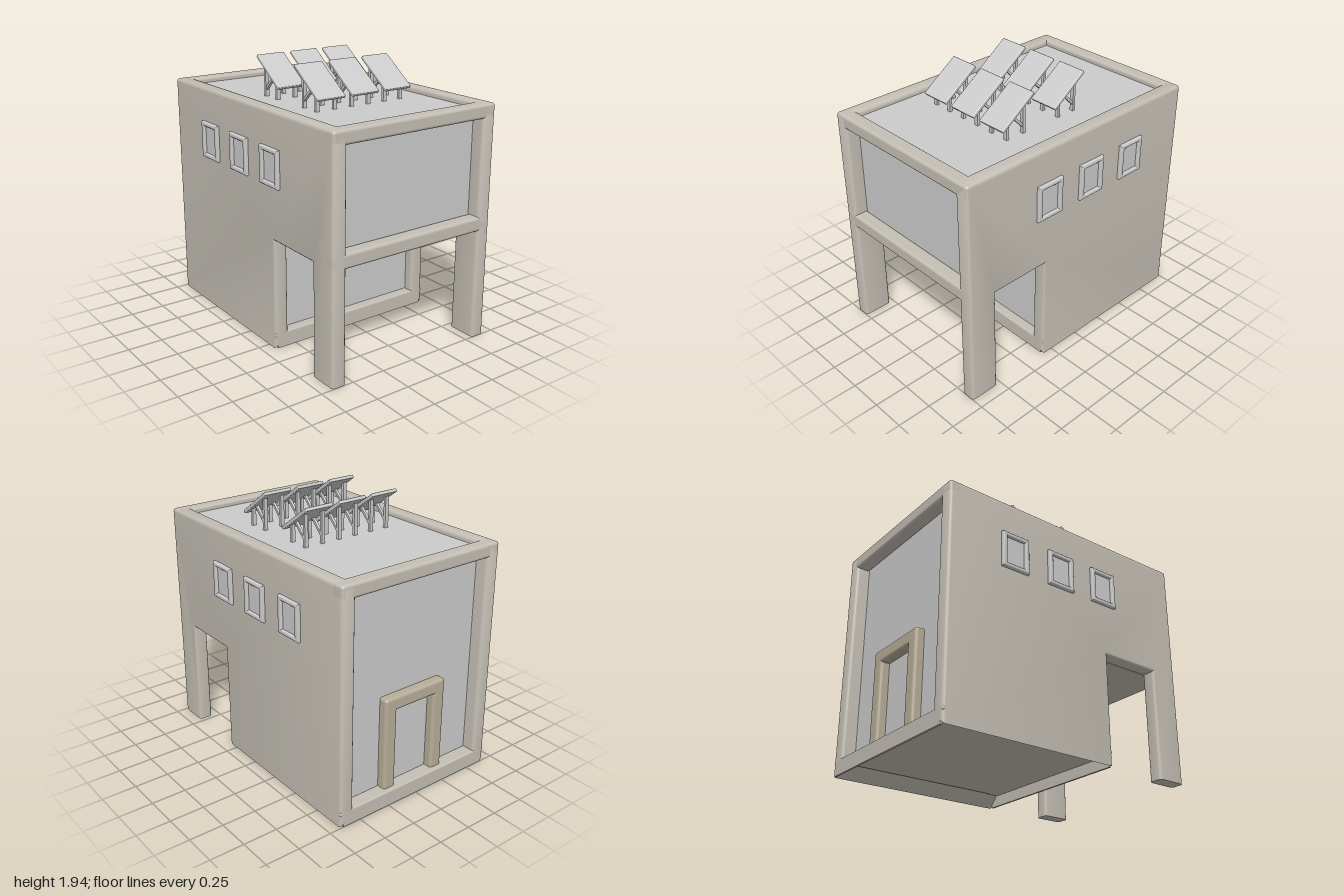
import * as THREE from 'three';
import { RoundedBoxGeometry } from 'three/addons/geometries/RoundedBoxGeometry.js';
import { toCreasedNormals } from 'three/addons/utils/BufferGeometryUtils.js';

const grey = new THREE.MeshStandardMaterial({ color: 0xcccccc });
const wallMat = new THREE.MeshStandardMaterial({ color: 0xc4bfb5 });
const trimMat = new THREE.MeshStandardMaterial({ color: 0xb8ad98 });

const W = 0.665, T = 0.105, H = 1.69, R = 0.022; // half width, wall thickness, height, edge radius
const ROOF = 1.65; // height of the recessed roof

function add(parent, name, geometry, material) {
  const mesh = new THREE.Mesh(geometry, material);
  mesh.name = name;
  parent.add(mesh);
  return mesh;
}

// Box given by its limits on each axis, optionally with rounded edges
function span(parent, name, [x0, x1], [y0, y1], [z0, z1], material, r = 0) {
  const size = [x1 - x0, y1 - y0, z1 - z0];
  const geo = r ? new RoundedBoxGeometry(...size, 3, r) : new THREE.BoxGeometry(...size);
  geo.translate((x0 + x1) / 2, (y0 + y1) / 2, (z0 + z1) / 2);
  return add(parent, name, geo, material);
}

// Extrude an outline of [z, y] points along x, with rounded edges
function extrudeX(points, thickness, r, hole) {
  const toVec = ([z, y]) => new THREE.Vector2(-z, y);
  const shape = new THREE.Shape(points.map(toVec));
  if (hole) shape.holes.push(new THREE.Path(hole.map(toVec)));
  const geo = new THREE.ExtrudeGeometry(shape, {
    depth: thickness - 2 * r, bevelSize: r, bevelThickness: r, bevelOffset: -r, bevelSegments: 3,
  });
  geo.translate(0, 0, r - thickness / 2);
  return geo.rotateY(Math.PI / 2);
}

const rect = (hz, hy) => [[hz, -hy], [-hz, -hy], [-hz, hy], [hz, hy]];

// Side wall with front leg and passage opening; side is +1 for left, -1 for right
function wallGeometry(side) {
  const c = R * 1.3, k = c * 0.3;
  const geo = extrudeX([
    [1, -R], [1, H - c], [1 - k, H - k], [1 - c, H],
    [c - 1, H], [k - 1, H - k], [-1, H - c], [-1, -R],
    [0.335, -R], [0.335, 0.8], [0.78, 0.8], [0.78, -R],
  ], T, R);
  // Flat foot under the leg; under the room the base slopes up to the floor
  const p = geo.attributes.position;
  for (let i = 0; i < p.count; i++) {
    const slope = p.getZ(i) < 0.34 ? 0.11 * (0.5 - side * p.getX(i) / T) : 0;
    p.setY(i, Math.max(p.getY(i), slope));
  }
  return toCreasedNormals(geo, 0.6);
}

function buildShell(house) {
  for (const side of [1, -1]) {
    const wall = add(house, side > 0 ? 'leftWall' : 'rightWall', wallGeometry(side), wallMat);
    wall.position.x = side * (W - T / 2);
  }

  // Cross beams between the walls
  const beams = [
    ['frontTopBeam', [1.59, H], [0.895, 1], R],
    ['frontMiddleBeam', [0.8, 0.905], [0.895, 1], R],
    ['lowerFrontSill', [0.083, 0.113], [0.23, 0.335], 0.012],
    ['backTopBeam', [1.59, H], [-1, -0.895], R],
    ['backSill', [0.083, 0.113], [-1, -0.895], 0.012],
  ];
  for (const [name, y, z, r] of beams) span(house, name, [-W, W], y, z, wallMat, r);

  // Thin skirts below the sills
  const skirt = [R - W, W - R];
  span(house, 'lowerFrontSkirt', skirt, [0, 0.1], [0.32, 0.335], wallMat);
  span(house, 'backSkirt', skirt, [0, 0.1], [-1, -0.985], wallMat);

  // Recessed panels, roof and floors
  const inner = [-0.57, 0.57];
  span(house, 'roof', inner, [ROOF - 0.02, ROOF], [-0.92, 0.92], grey);
  span(house, 'upperFrontPanel', inner, [0.82, 1.62], [0.88, 0.9], grey);
  span(house, 'lowerFrontPanel', inner, [0.09, 0.82], [0.245, 0.265], grey);
  span(house, 'backPanel', inner, [0.09, 1.62], [-0.9, -0.88], grey);
  span(house, 'passageCeiling', inner, [0.8, 0.82], [0.245, 0.96], wallMat);
  span(house, 'floor', inner, [0.08, 0.09], [-0.985, 0.32], wallMat);
}

function buildDoor(house) {
  const door = new THREE.Group();
  door.name = 'backDoorFrame';
  const z = [-0.965, -0.88];
  for (const s of [1, -1]) {
    span(door, 'doorPost', [s * 0.215 - 0.05, s * 0.215 + 0.05], [0.085, 0.79], z, trimMat, R);
  }
  span(door, 'doorLintel', [-0.265, 0.265], [0.69, 0.79], z, trimMat, R);
  house.add(door);
}

function buildWindows(house) {
  const frame = toCreasedNormals(extrudeX(rect(0.11, 0.132), 0.05, 0.012, rect(0.074, 0.1)), 0.6);
  const pane = new THREE.BoxGeometry(0.01, 0.22, 0.17);
  for (const s of [1, -1]) {
    for (const z of [0.31, -0.08, -0.475]) {
      const win = new THREE.Group();
      win.name = 'sideWindow';
      add(win, 'windowFrame', frame, grey);
      add(win, 'windowPane', pane, grey);
      win.position.set(s * W, 1.313, z);
      house.add(win);
    }
  }
}

// Tilted panel on four legs with two braces; origin on the roof
function buildSolarPanel() {
  const panel = new THREE.Group();
  panel.name = 'solarPanel';
  const tilt = 0.615, height = 1.833 - ROOF;
  const plate = add(panel, 'panelPlate', new RoundedBoxGeometry(0.22, 0.025, 0.332, 2, 0.006), grey);
  plate.position.y = height;
  plate.rotation.x = tilt;
  for (const x of [-0.07, 0.07]) {
    for (const z of [0.07, -0.075]) {
      const top = height - z * Math.tan(tilt) - 0.008;
      span(panel, 'panelLeg', [x - 0.014, x + 0.014], [0, top], [z - 0.01, z + 0.01], grey);
    }
    const brace = add(panel, 'panelBrace', new THREE.BoxGeometry(0.02, 0.018, 0.15), grey);
    brace.position.set(x, height - 0.081, -0.022);
    brace.rotation.x = -Math.PI / 4;
  }
  return panel;
}

export function createModel() {
  const house = new THREE.Group();
  house.name = 'house';
  buildShell(house);
  buildDoor(house);
  buildWindows(house);

  // Two rows of three roof panels
  for (const z of [0.32, -0.148]) {
    for (const x of [-0.28, 0, 0.28]) {
      const panel = buildSolarPanel();
      panel.position.set(x, ROOF, z);
      house.add(panel);
    }
  }
  return house;
}
